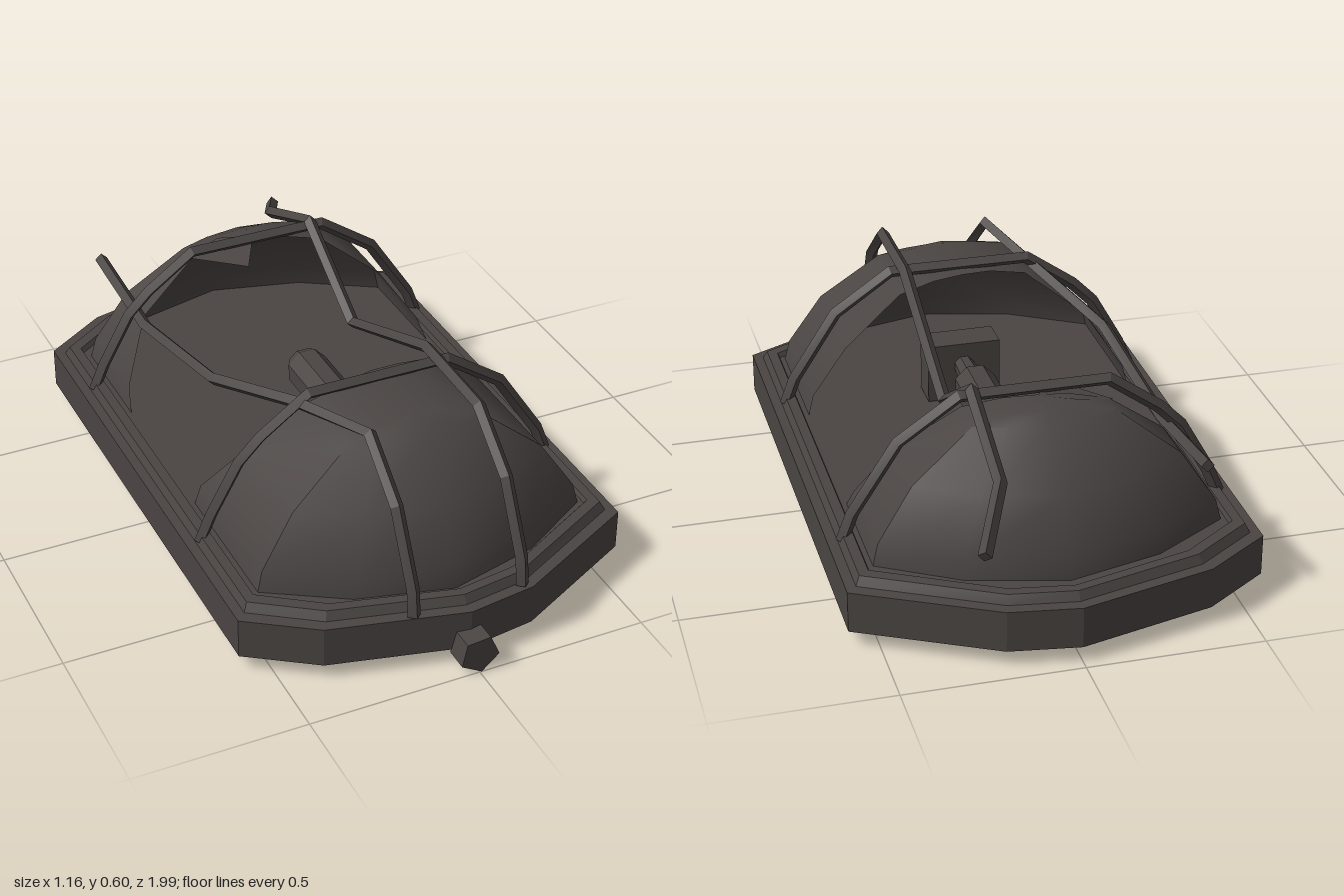
import * as THREE from 'three';
import { toCreasedNormals } from 'three/addons/utils/BufferGeometryUtils.js';

const metal = new THREE.MeshStandardMaterial({ color: 0x4a4543, side: THREE.DoubleSide });
metal.name = 'dark weathered metal';

// Skin a list of cross-sections (each a list of [x, y, z]) into a surface.
function loft(rings, closed, crease = 0.3) {
  const n = rings[0].length, pos = [], idx = [];
  rings.forEach(r => r.forEach(p => pos.push(...p)));
  for (let i = 0; i < rings.length - 1; i++) {
    for (let j = 0; j < (closed ? n : n - 1); j++) {
      const a = i * n + j, b = i * n + (j + 1) % n;
      idx.push(a, b, b + n, a, b + n, a + n);
    }
  }
  const g = new THREE.BufferGeometry();
  g.setAttribute('position', new THREE.Float32BufferAttribute(pos, 3));
  g.setIndex(idx);
  return toCreasedNormals(g, crease);
}

// Bent bar of diamond section; side is the axis across its width.
function bar(points, side, r = 0.019) {
  const pts = points.map(p => new THREE.Vector3(...p));
  const last = pts.length - 1;
  const ring = (i, rad) => {
    const d0 = pts[Math.max(i, 1)].clone().sub(pts[Math.max(i, 1) - 1]).normalize();
    const k = Math.min(i, last - 1);
    const t = pts[k + 1].clone().sub(pts[k]).normalize().add(d0).normalize();
    const s = side.clone().addScaledVector(t, -side.dot(t)).normalize();
    const n = t.clone().cross(s);
    return [[1, 0], [0, 1], [-1, 0], [0, -1]].map(([a, b]) =>
      pts[i].clone().addScaledVector(s, a * rad).addScaledVector(n, b * rad).toArray());
  };
  return loft([ring(0, 0), ...pts.map((_, i) => ring(i, r)), ring(last, 0)], true);
}

export function createModel() {
  const model = new THREE.Group();
  const add = (name, geometry) => {
    const m = new THREE.Mesh(geometry, metal);
    m.name = name;
    model.add(m);
    return m;
  };

  // Hollow base tray with a stepped lip
  const outline = [[-0.58, 0.72], [-0.39, 0.85], [0, 0.945], [0.2, 0.917], [0.58, 0.72],
    [0.58, -0.74], [0.2, -0.94], [0, -0.97], [-0.39, -0.87], [-0.58, -0.74]];
  const level = (y, sx, sz) => outline.map(([x, z]) => [x * sx, y, z * sz]);
  add('baseTray', loft([level(0.045, 1, 1), level(0.165, 1, 1), level(0.165, 0.95, 0.965),
    level(0.19, 0.93, 0.95), level(0.19, 0.88, 0.92), level(0.177, 0.87, 0.91),
    level(0.177, 0, 0)], true));

  // Broken glass globe ends: height, half width, corner z, end z for each level
  const levels = [[0.178, 0.49, 0.645, 0.85], [0.24, 0.475, 0.64, 0.838], [0.39, 0.375, 0.62, 0.77],
    [0.525, 0.2, 0.58, 0.63], [0.548, 0.09, 0.55, 0.585], [0.555, 0, 0.54, 0.55]];
  function globe(name, s, edgeA, edgeB) {
    const rings = levels.map(([y, w, c, e], i) => {
      const mid = c + (e - c) * 0.66;
      return [[-w, edgeA[i]], [-w, c], [-w * 0.55, mid], [0, e], [w * 0.55, mid], [w, c], [w, edgeB[i]]]
        .map(([x, z]) => [s * x, y, s * z]);
    });
    add(name, loft(rings, false, 0.6));
  }
  globe('frontGlobeShell', 1, [0.2, 0.21, 0.3, 0.34, 0.33, 0.31], [0.25, 0.25, 0.24, 0.28, 0.3, 0.31]);
  globe('backGlobeShell', -1, [0.3, 0.34, 0.4, 0.46, 0.48, 0.5], [0.3, 0.35, 0.47, 0.51, 0.5, 0.5]);

  // Torn shard left on the top of the back shell
  add('glassShard', loft([[[-0.21, 0.525, -0.52], [-0.07, 0.535, -0.38]],
    [[-0.1, 0.552, -0.55], [0, 0.557, -0.51]]], false));

  // Bulb lying along z, and its socket
  const socket = add('bulbSocket', new THREE.BoxGeometry(0.22, 0.18, 0.1));
  socket.position.set(0.015, 0.27, 0.29);
  const bulbProfile = [[0, -0.19], [0.042, -0.19], [0.064, -0.15], [0.064, 0.11], [0.035, 0.135],
    [0.035, 0.15], [0.03, 0.25]].map(p => new THREE.Vector2(...p));
  const bulb = add('bulb', toCreasedNormals(new THREE.LatheGeometry(bulbProfile, 8), 0.3));
  bulb.rotation.set(Math.PI / 2, Math.PI / 8, 0);
  bulb.position.set(0.015, 0.29, 0);

  // Hoops across the guard cage
  const across = new THREE.Vector3(0, 0, 1), along = new THREE.Vector3(1, 0, 0);
  for (const [name, z] of [['frontCageHoop', 0.36], ['backCageHoop', -0.48]]) {
    add(name, bar([[-0.54, 0.17], [-0.505, 0.25], [-0.42, 0.4], [-0.355, 0.465], [-0.21, 0.567],
      [0.21, 0.567], [0.38, 0.45], [0.51, 0.25], [0.54, 0.17]].map(([x, y]) => [x, y, z]), across));
  }

  // Lengthwise cage bars, bent and broken free at the back
  const rise = x => [[x, 0.17, 0.9], [x, 0.25, 0.89], [x, 0.45, 0.785], [x, 0.58, 0.62]];
  add('leftCageBar', bar([...rise(0.175), [0.175, 0.585, 0.31], [0.175, 0.395, -0.17],
    [0.175, 0.583, -0.48], [0.175, 0.46, -0.78], [0.27, 0.37, -0.985]], along));
  add('rightCageBar', bar([...rise(-0.15), [-0.24, 0.535, 0.34], [-0.36, 0.465, 0.04],
    [-0.39, 0.39, -0.42], [-0.395, 0.43, -0.78]], along));

  // Cable stub at the front
  const stub = add('cableStub', new THREE.CylinderGeometry(0.059, 0.059, 0.07, 5).toNonIndexed());
  stub.geometry.computeVertexNormals();
  stub.rotation.set(Math.PI / 2, 0.1, 0);
  stub.position.set(0, 0.059, 0.965);

  return model;
}
